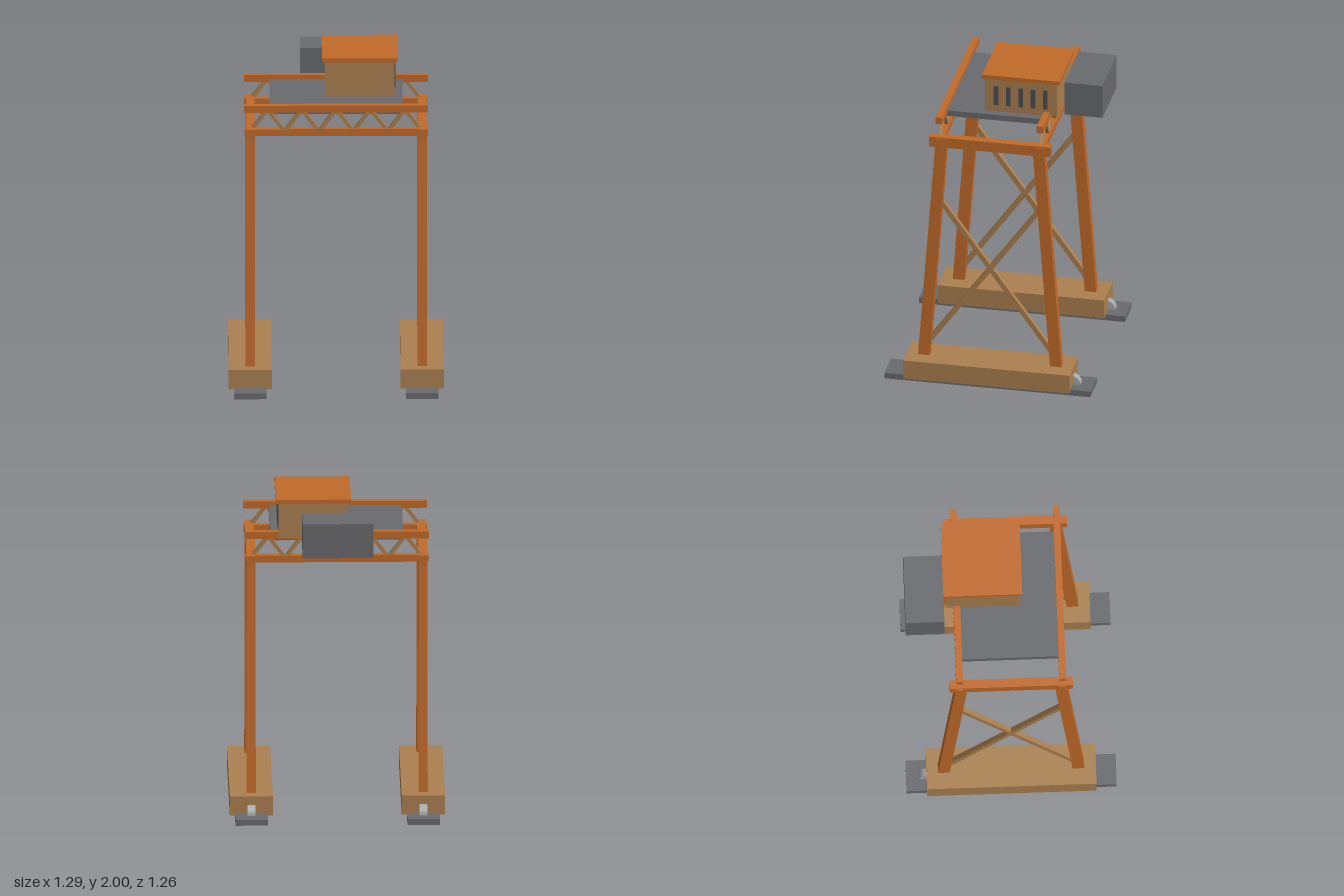
import * as THREE from 'three';

const paint = (name, color) => {
  const m = new THREE.MeshStandardMaterial({ color });
  m.name = name;
  return m;
};

export function createModel() {
  const orange = paint('orange steel', 0xc26a2a);
  const tan = paint('tan steel', 0xab8050);
  const grey = paint('dark grey', 0x696a6e);
  const wheelGrey = paint('wheel grey', 0xa6a9ad);
  const glass = paint('window grey', 0x4b4e57);

  const model = new THREE.Group();
  model.name = 'gantryCrane';

  // Box given by its extents on each axis
  const block = (name, mat, [x0, x1], [y0, y1], [z0, z1], parent = model) => {
    const mesh = new THREE.Mesh(new THREE.BoxGeometry(x1 - x0, y1 - y0, z1 - z0), mat);
    mesh.position.set((x0 + x1) / 2, (y0 + y1) / 2, (z0 + z1) / 2);
    mesh.name = name;
    parent.add(mesh);
    return mesh;
  };

  // Straight bar between two points
  const up = new THREE.Vector3(0, 1, 0);
  const bar = (name, mat, from, to, w, d, parent) => {
    const a = new THREE.Vector3(...from);
    const b = new THREE.Vector3(...to);
    const dir = b.clone().sub(a);
    const mesh = new THREE.Mesh(new THREE.BoxGeometry(w, dir.length(), d), mat);
    mesh.position.copy(a).add(b).multiplyScalar(0.5);
    mesh.quaternion.setFromUnitVectors(up, dir.normalize());
    mesh.name = name;
    parent.add(mesh);
  };

  // Two side frames: rail, wheels, sill, legs, cross braces, head beam
  for (const s of [-1, 1]) {
    const side = new THREE.Group();
    side.name = s > 0 ? 'leftFrame' : 'rightFrame';
    model.add(side);
    const x = s * 0.517;

    block('rail', grey, [x - 0.098, x + 0.098], [0.025, 0.062], [-0.632, 0.632], side);
    block('sillBeam', tan, [x - 0.13, x + 0.13], [0.052, 0.172], [-0.51, 0.51], side);
    for (const z of [0.255, -0.255, -0.497]) {
      const wheel = new THREE.Mesh(new THREE.CylinderGeometry(0.06, 0.06, 0.046, 24), wheelGrey);
      wheel.rotation.z = Math.PI / 2;
      wheel.position.set(x, 0.06, z);
      wheel.name = 'wheel';
      side.add(wheel);
    }
    for (const t of [-1, 1]) {
      bar('leg', orange, [x, 0.12, t * 0.409], [x, 1.6, t * 0.299], 0.055, 0.07, side);
      bar('crossBrace', tan, [x, 0.27, t * 0.37], [x, 1.2, t * -0.3], 0.03, 0.03, side);
    }
    block('headBeam', orange, [x - 0.0275, x + 0.0275], [1.575, 1.64], [-0.372, 0.372], side);
  }

  // Two lattice girders across the span
  for (const s of [-1, 1]) {
    const girder = new THREE.Group();
    girder.name = s > 0 ? 'frontGirder' : 'backGirder';
    model.add(girder);
    const z = s * 0.31;
    block('bottomChord', orange, [-0.552, 0.552], [1.588, 1.631], [z - 0.02, z + 0.02], girder);
    block('topChord', orange, [-0.553, 0.553], [1.735, 1.779], [z - 0.02, z + 0.02], girder);
    const step = 0.1034;
    for (let i = 0; i < 10; i++) {
      const x = -0.517 + i * step;
      const [y0, y1] = i % 2 ? [1.75, 1.613] : [1.613, 1.75];
      bar('latticeBar', tan, [x, y0, z], [x + step, y1, z], 0.022, 0.022, girder);
    }
  }

  // Deck, machine house and counterweight
  block('deck', grey, [-0.4, 0.4], [1.718, 1.754], [-0.3, 0.3]);
  block('cabin', tan, [-0.065, 0.352], [1.754, 1.976], [-0.374, 0.068]);
  block('cabinRoof', orange, [-0.085, 0.37], [1.975, 2], [-0.392, 0.083]);
  block('counterweight', grey, [-0.215, 0.21], [1.703, 1.917], [-0.623, -0.39]);

  // Row of windows on the cabin's left wall
  for (let i = 0; i < 5; i++) {
    const z = -i * 0.0755;
    block('window', glass, [0.349, 0.357], [1.798, 1.923], [z - 0.014, z + 0.014]);
  }
  return model;
}
